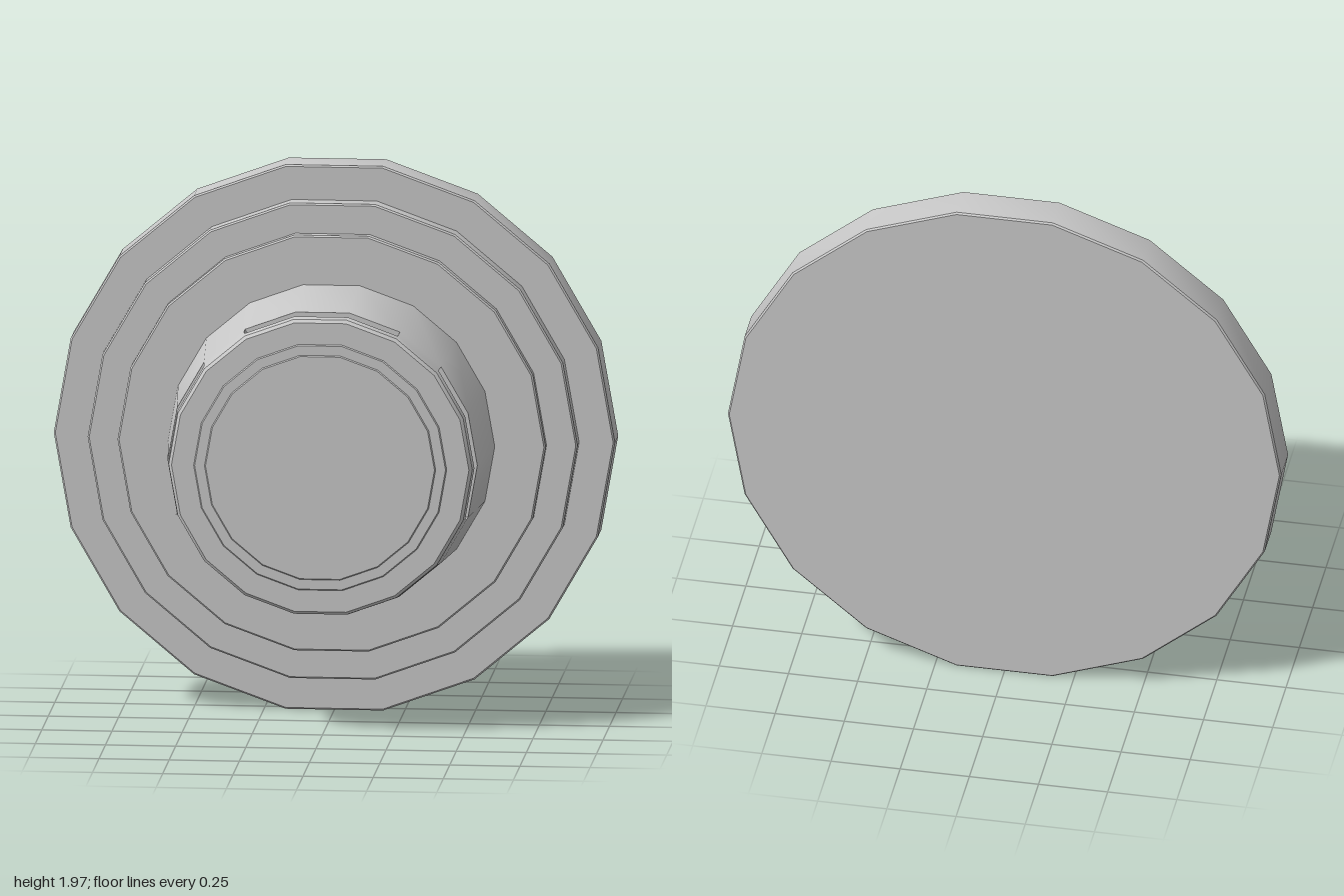
import * as THREE from 'three';
import { mergeGeometries, toCreasedNormals } from 'three/addons/utils/BufferGeometryUtils.js';

const SIDES = 18;
const STEP = (Math.PI * 2) / SIDES;
const CENTRE_Y = 0.985;

// Turned surface around the z axis; profile is [radius, z] with z rising,
// from side number "first" over "count" sides (side 0 starts at +x).
function turned(profile, first = 0, count = SIDES) {
  const points = profile.map(([r, z]) => new THREE.Vector2(r, z));
  const geo = new THREE.LatheGeometry(points, count, Math.PI / 2 + first * STEP, count * STEP);
  return bare(geo.rotateX(Math.PI / 2));
}

function bare(geo) {
  const out = geo.index ? geo.toNonIndexed() : geo;
  out.deleteAttribute('uv');
  out.deleteAttribute('normal');
  return out;
}

// Flat end wall of a slot, standing at a given side number
function slotEnd(side, r0, r1, z0, z1, flip) {
  const c = Math.cos(side * STEP), s = Math.sin(side * STEP);
  const p = (r, z) => [r * c, r * s, z];
  const quad = [p(r0, z0), p(r0, z1), p(r1, z1), p(r1, z0)];
  if (flip) quad.reverse();
  const geo = new THREE.BufferGeometry();
  const order = [0, 1, 2, 0, 2, 3].flatMap((i) => quad[i]);
  geo.setAttribute('position', new THREE.Float32BufferAttribute(order, 3));
  return geo;
}

export function createModel() {
  const group = new THREE.Group();
  group.name = 'steppedKnob';
  const grey = new THREE.MeshStandardMaterial({ color: 0xc8c8c8 });
  grey.name = 'grey';

  function add(name, parts) {
    const geo = parts.length > 1 ? mergeGeometries(parts) : parts[0];
    const mesh = new THREE.Mesh(toCreasedNormals(geo, 0.5), grey);
    mesh.name = name;
    mesh.position.y = CENTRE_Y;
    group.add(mesh);
  }

  // Base plate and the two steps in front of it, with fine bevels
  const b = 0.006;
  add('basePlate', [turned([
    [0, -0.343], [1 - b, -0.343], [1, -0.343 + b], [1, -0.205 - b], [1 - b, -0.205], [0.8, -0.205],
  ])]);
  add('middleStep', [turned([
    [0.873, -0.206], [0.873, -0.138 - b], [0.873 - b, -0.138], [0.7, -0.138],
  ])]);
  add('upperStep', [turned([
    [0.763, -0.139], [0.763, -0.1 - b], [0.763 - b, -0.1], [0.5, -0.1],
  ])]);

  // Tapered collar with four slots, each three sides long
  const z0 = 0.248, z1 = 0.297, floor = 0.485, r0 = 0.552, r1 = 0.546;
  const collar = [
    turned([[0.582, -0.101], [r0, z0]]),
    turned([[r1, z1], [0.541, 0.325], [0.53, 0.336], [0.44, 0.336]]),
  ];
  const slots = [-1, 3, 7, 12];
  slots.forEach((first, i) => {
    const end = first + 3;
    const next = i < 3 ? slots[i + 1] : slots[0] + SIDES;
    collar.push(
      turned([[r0, z0], [floor, z0], [floor, z1], [r1, z1]], first, 3),
      turned([[r0, z0], [r1, z1]], end, next - end),
      slotEnd(first, floor, r0, z0, z1, false),
      slotEnd(end, floor, r0, z0, z1, true),
    );
  });
  add('slottedCollar', collar);

  // Slightly raised face with a sloping rim
  add('frontFace', [turned([[0.452, 0.335], [0.447, 0.34], [0.412, 0.34], [0.408, 0.344], [0, 0.344]])]);

  return group;
}
